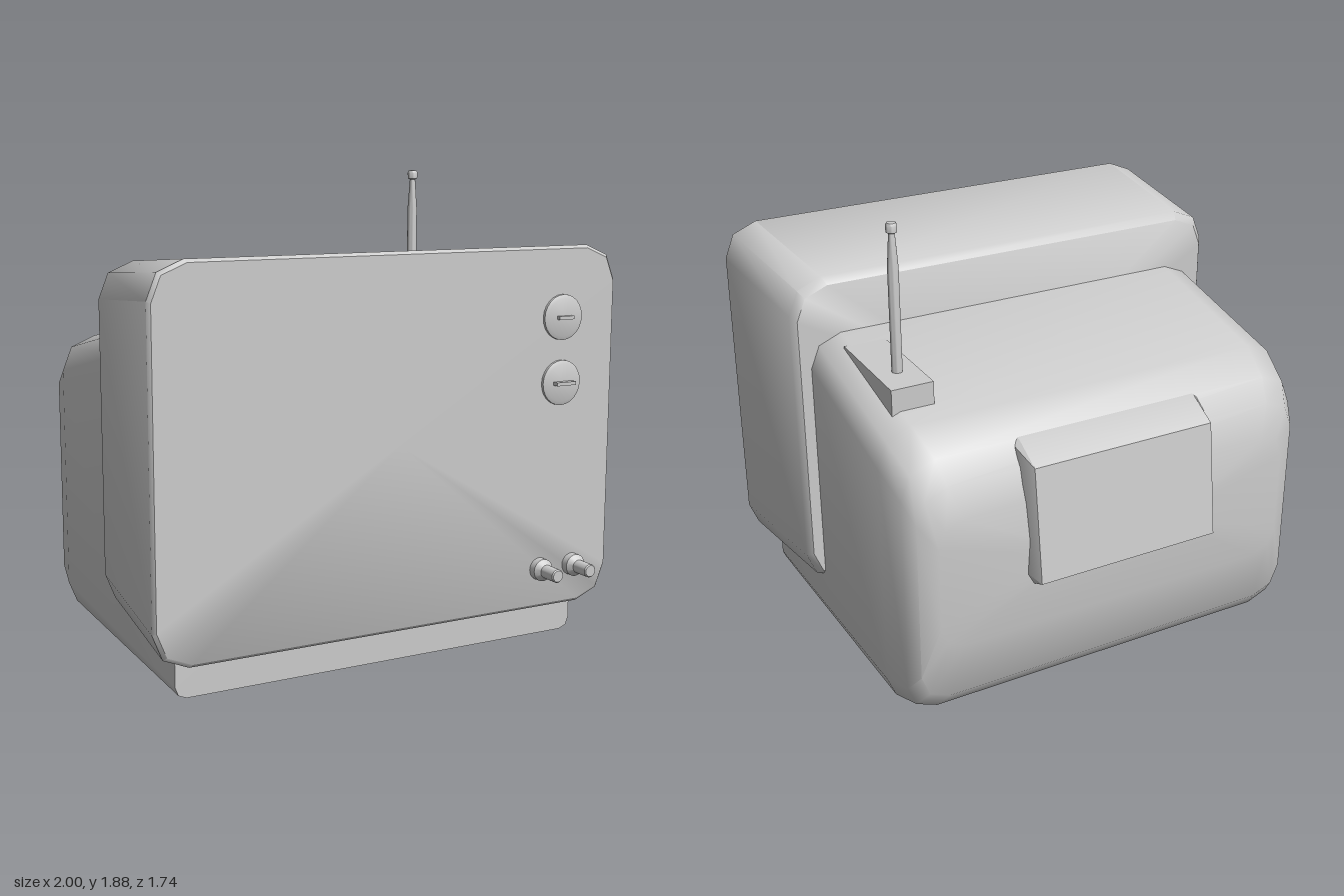
import * as THREE from 'three';
import { toCreasedNormals } from 'three/addons/utils/BufferGeometryUtils.js';

const material = new THREE.MeshStandardMaterial({ color: 0xcccccc });

function add(parent, name, geometry, x = 0, y = 0, z = 0) {
  const mesh = new THREE.Mesh(geometry, material);
  mesh.name = name;
  mesh.position.set(x, y, z);
  parent.add(mesh);
  return mesh;
}

// Skin a list of closed rings and close both ends with fans.
function loft(rings, crease) {
  const pos = [];
  const tri = (...pts) => pts.forEach((p) => pos.push(...p));
  const n = rings[0].length;
  const centre = (r) => [0, 1, 2].map((k) => r.reduce((s, p) => s + p[k], 0) / n);
  const first = rings[0], last = rings[rings.length - 1];
  const c0 = centre(first), c1 = centre(last);
  for (let j = 0; j < n; j++) {
    const k = (j + 1) % n;
    tri(c0, first[j], first[k]);
    tri(c1, last[k], last[j]);
    for (let i = 0; i < rings.length - 1; i++) {
      const a = rings[i], b = rings[i + 1];
      tri(a[j], b[j], a[k]);
      tri(b[j], b[k], a[k]);
    }
  }
  const g = new THREE.BufferGeometry();
  g.setAttribute('position', new THREE.Float32BufferAttribute(pos, 3));
  return toCreasedNormals(g, crease);
}

// Rectangle at depth z with two-step chamfered corners (top size t, bottom size b).
function ring(z, w, y0, y1, t, b) {
  const right = [
    [w - b, y0], [w - b * 0.28, y0 + b * 0.3], [w, y0 + b],
    [w, y1 - t], [w - t * 0.28, y1 - t * 0.3], [w - t, y1],
  ];
  const left = right.map(([x, y]) => [-x, y]).reverse();
  return [...right, ...left].map(([x, y]) => [x, y, z]);
}

// Lathe from [radius, height] pairs.
function lathe(points, crease = 0.6) {
  const g = new THREE.LatheGeometry(points.map(([r, y]) => new THREE.Vector2(r, y)), 24);
  return toCreasedNormals(g, crease);
}

export function createModel() {
  const model = new THREE.Group();
  model.name = 'television';

  // Front cabinet, tapering towards the back
  add(model, 'frontCabinet', loft([
    ring(0.745, 0.988, 0.157, 1.588, 0.135, 0.135),
    ring(0.73, 1.0, 0.143, 1.6, 0.14, 0.14),
    ring(0.12, 0.952, 0.2, 1.553, 0.14, 0.14),
    ring(0.09, 0.93, 0.225, 1.525, 0.13, 0.13),
  ], 0.8));

  // Rear housing with its foot running under the cabinet
  add(model, 'rearHousing', loft([
    ring(0.655, 0.885, 0, 1.3, 0.13, 0.045),
    ring(0.09, 0.885, 0, 1.32, 0.13, 0.08),
    ring(-0.54, 0.885, 0, 1.19, 0.14, 0.12),
    ring(-0.68, 0.86, 0.04, 1.115, 0.14, 0.12),
    ring(-0.745, 0.83, 0.12, 1.03, 0.13, 0.12),
    ring(-0.782, 0.76, 0.36, 0.9, 0.1, 0.1),
    ring(-0.808, 0.41, 0.56, 0.75, 0.04, 0.04),
  ], 0.9));

  // Raised panel on the back
  const outer = [[-0.6, 1.13], [-0.6, 0.56], [-0.805, 0.56], [-0.87, 0.59], [-0.81, 1.05], [-0.69, 1.115]];
  const inner = [[-0.6, 1.12], [-0.6, 0.58], [-0.79, 0.58], [-0.81, 0.61], [-0.755, 1.03], [-0.68, 1.1]];
  const slice = (x, profile) => profile.map(([z, y]) => [x, y, z]);
  add(model, 'backPanel', loft([
    slice(0.41, inner), slice(0.385, outer), slice(-0.385, outer), slice(-0.41, inner),
  ], 0.5));

  // Aerial on its block
  add(model, 'aerialBlock', new THREE.BoxGeometry(0.17, 0.18, 0.45), 0.695, 1.21, -0.225);
  add(model, 'aerial', lathe([
    [0, 0], [0.021, 0], [0.021, 0.41], [0.012, 0.54], [0.021, 0.545],
    [0.022, 0.57], [0.017, 0.58], [0, 0.582],
  ]), 0.692, 1.3, -0.305);

  // Tuning dials with a grip bar
  [[1.32, 0.07, 0.78], [1.06, 0.09, 0.79]].forEach(([y, width, front]) => {
    const dial = new THREE.Group();
    dial.name = 'tuningDial';
    dial.position.set(0.738, y, 0.74);
    model.add(dial);
    add(dial, 'dialDisc', lathe([[0.09, 0], [0.09, 0.016], [0.075, 0.022], [0, 0.026]]))
      .rotation.x = Math.PI / 2;
    const depth = front - 0.74;
    add(dial, 'dialGrip', new THREE.BoxGeometry(width, 0.014, depth), 0, 0, depth / 2);
  });

  // Small control knobs
  for (const x of [0.66, 0.82]) {
    add(model, 'controlKnob', lathe([
      [0.045, 0], [0.045, 0.035], [0.027, 0.055], [0.027, 0.127], [0.023, 0.132], [0, 0.132],
    ]), x, 0.307, 0.74).rotation.x = Math.PI / 2;
  }

  return model;
}
